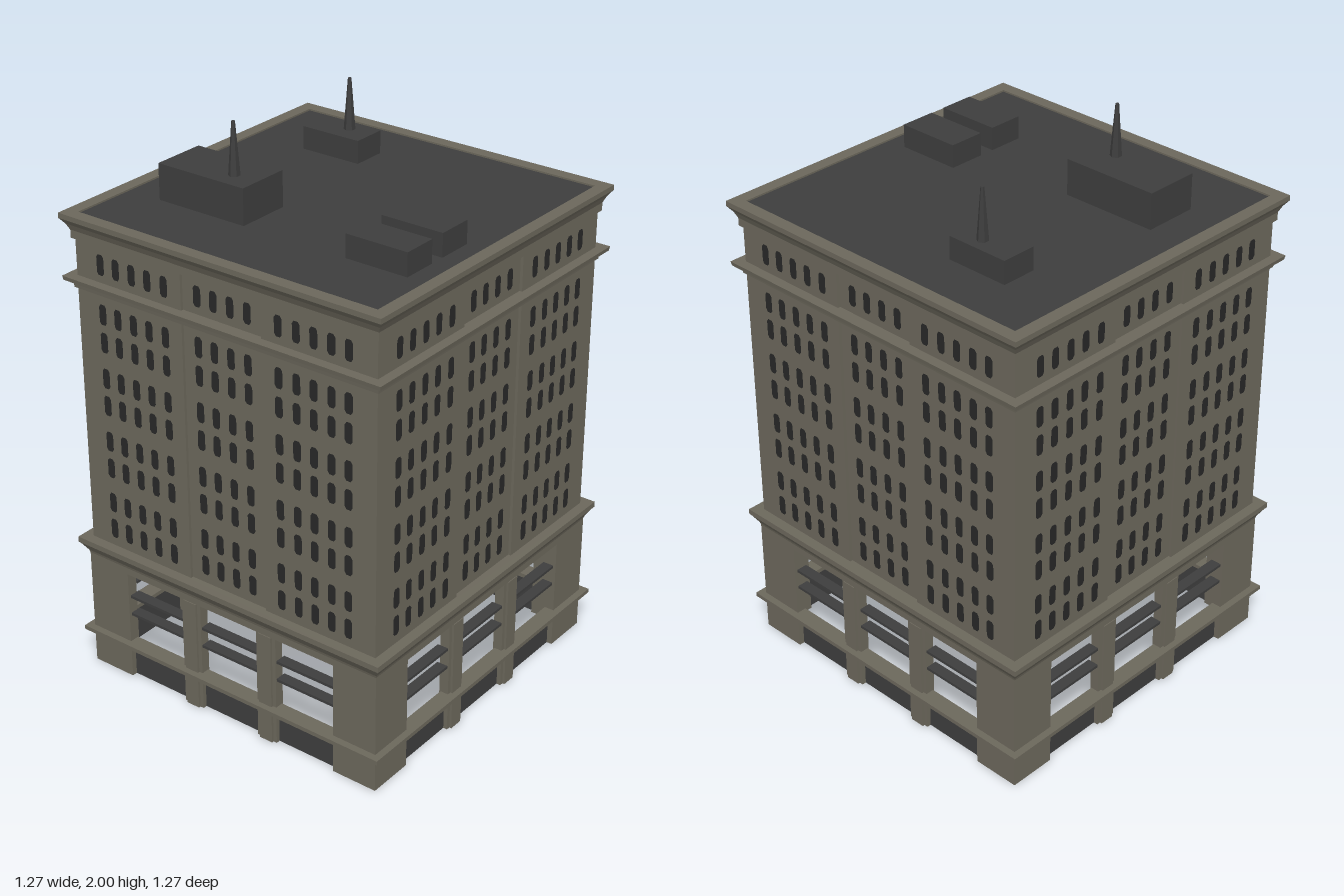
import * as THREE from 'three';
import { mergeGeometries } from 'three/addons/utils/BufferGeometryUtils.js';

const stone = new THREE.MeshStandardMaterial({ color: 0x6b675b });
stone.name = 'stone';
stone.side = THREE.DoubleSide;
const slate = new THREE.MeshStandardMaterial({ color: 0x3d3d3d });
slate.name = 'slate';
const glass = new THREE.MeshStandardMaterial({ color: 0x272727 });
glass.name = 'darkGlass';
glass.side = THREE.DoubleSide;

function mesh(parent, name, geometry, material) {
  const m = new THREE.Mesh(geometry, material);
  m.name = name;
  parent.add(m);
  return m;
}

// Box given by its minimum and maximum corners
function span(x0, x1, y0, y1, z0, z1) {
  return new THREE.BoxGeometry(x1 - x0, y1 - y0, z1 - z0)
    .translate((x0 + x1) / 2, (y0 + y1) / 2, (z0 + z1) / 2);
}

// Square moulding swept around the building from [half width, height] points
function squareBand(profile) {
  const pts = profile.map(([r, y]) => new THREE.Vector2(r * Math.SQRT2, y));
  const g = new THREE.LatheGeometry(pts, 4, Math.PI / 4).toNonIndexed();
  g.computeVertexNormals();
  return g;
}

// Tall window outline with clipped corners
function windowShape() {
  const w = 0.015, c = 0.008, h = 0.036, s = 0.026;
  return new THREE.Shape([[-c, -h], [c, -h], [w, -s], [w, s], [c, h], [-c, h], [-w, s], [-w, -s]]
    .map(([x, y]) => new THREE.Vector2(x, y)));
}

function createFacade() {
  const side = new THREE.Group();
  const outer = 0.6, middle = 0.59, thick = 0.012;

  // Upper wall: two outer bays and a slightly recessed middle bay
  mesh(side, 'upperWall', mergeGeometries([
    span(-0.6, -0.16, 0.44, 1.66, outer - thick, outer),
    span(0.16, 0.6, 0.44, 1.66, outer - thick, outer),
    span(-0.16, 0.16, 0.44, 1.66, middle - thick, middle),
  ]), stone);

  // Windows, seen from the street and from inside
  const columns = [-0.495, -0.43, -0.363, -0.297, -0.228, -0.1, -0.035, 0.032, 0.1,
    0.228, 0.297, 0.363, 0.43, 0.495];
  const rows = [0.573, 0.674, 0.806, 0.907, 1.04, 1.14, 1.27, 1.37, 1.545];
  const pane = new THREE.ShapeGeometry(windowShape());
  const panes = [];
  for (const x of columns) {
    const face = Math.abs(x) < 0.16 ? middle : outer;
    for (const y of rows) {
      panes.push(pane.clone().translate(x, y, face + 0.002));
      panes.push(pane.clone().translate(x, y, face - thick - 0.002));
    }
  }
  mesh(side, 'windows', mergeGeometries(panes), glass);

  // Ground floor: piers and lintel around three tall openings
  const piers = [span(-0.61, 0.61, 0.415, 0.46, 0.57, 0.61)];
  for (const s of [-1, 1]) {
    piers.push(span(Math.min(s * 0.44, s * 0.61), Math.max(s * 0.44, s * 0.61), 0, 0.42, 0.57, 0.61));
    piers.push(span(s * 0.16 - 0.04, s * 0.16 + 0.04, 0, 0.42, 0.57, 0.605));
    piers.push(span(s * 0.16 - 0.026, s * 0.16 + 0.026, 0, 0.415, 0.6, 0.613));
  }
  mesh(side, 'piers', mergeGeometries(piers), stone);

  // Low dark panels and horizontal glazing bars in the openings
  const panels = [], bars = [];
  for (const x of [-0.32, 0, 0.32]) {
    panels.push(span(x - 0.12, x + 0.12, 0, 0.13, 0.582, 0.59));
    for (const y of [0.25, 0.32]) bars.push(span(x - 0.12, x + 0.12, y - 0.005, y + 0.005, 0.56, 0.6));
  }
  mesh(side, 'openingPanels', mergeGeometries(panels), slate);
  mesh(side, 'glazingBars', mergeGeometries(bars), slate);
  return side;
}

export function createModel() {
  const building = new THREE.Group();
  building.name = 'officeBuilding';

  // Four matching facades
  ['frontFacade', 'leftFacade', 'backFacade', 'rightFacade'].forEach((name, i) => {
    const facade = createFacade();
    facade.name = name;
    facade.rotation.y = i * Math.PI / 2;
    building.add(facade);
  });

  // Mouldings that wrap all four sides
  mesh(building, 'sillLedge', squareBand([
    [0.575, 0.128], [0.635, 0.128], [0.635, 0.143], [0.575, 0.143], [0.575, 0.128]]), stone);
  mesh(building, 'lowerCornice', squareBand([
    [0.61, 0.44], [0.613, 0.45], [0.632, 0.48], [0.637, 0.485], [0.637, 0.505], [0.588, 0.505]]), stone);
  mesh(building, 'upperLedge', squareBand([
    [0.6, 1.435], [0.608, 1.44], [0.61, 1.455], [0.632, 1.467], [0.635, 1.482], [0.585, 1.482]]), stone);
  mesh(building, 'roofCornice', squareBand([
    [0.6, 1.61], [0.61, 1.612], [0.61, 1.64], [0.62, 1.662], [0.635, 1.682],
    [0.635, 1.7], [0.59, 1.7], [0.59, 1.68]]), stone);

  // Roof deck and service boxes
  mesh(building, 'roofDeck', span(-0.592, 0.592, 1.68, 1.694, -0.592, 0.592), slate);
  const boxes = [
    ['largePlantRoom', -0.46, -0.11, 1.82, 0.155, 0.35],
    ['rearPlantRoom', -0.375, -0.145, 1.775, -0.41, -0.285],
    ['ventBoxRear', 0.29, 0.52, 1.775, 0.04, 0.17],
    ['ventBoxFront', 0.29, 0.52, 1.775, 0.225, 0.35],
  ];
  for (const [name, x0, x1, top, z0, z1] of boxes) {
    mesh(building, name, span(x0, x1, 1.69, top, z0, z1), slate);
  }

  // Tapered antennas
  for (const [name, x, y, z] of [['frontAntenna', -0.203, 1.82, 0.28], ['rearAntenna', -0.237, 1.775, -0.36]]) {
    const g = new THREE.CylinderGeometry(0.006, 0.02, 0.18, 6).toNonIndexed();
    g.computeVertexNormals();
    mesh(building, name, g, slate).position.set(x, y + 0.09, z);
  }
  return building;
}
